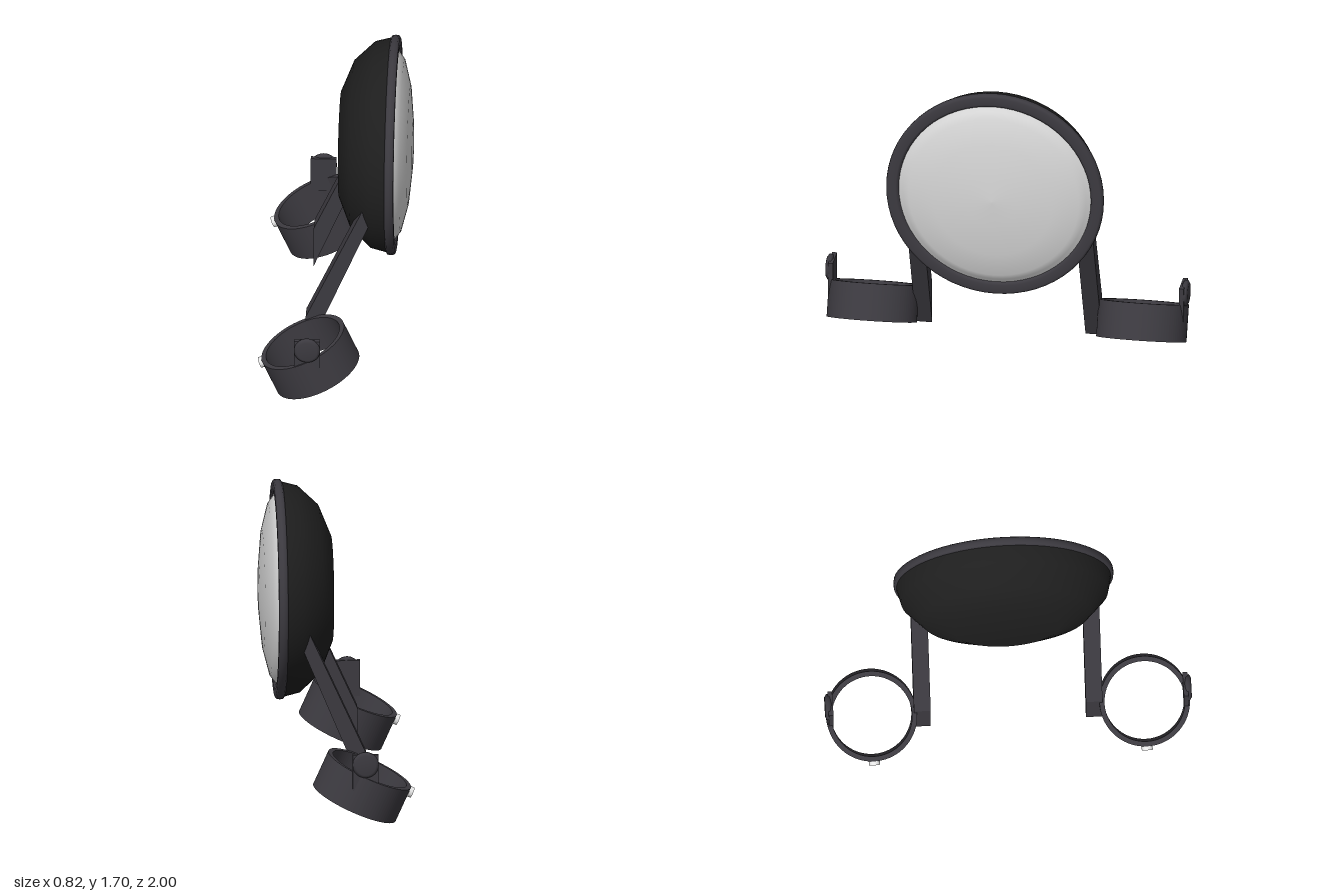
import * as THREE from 'three';

const frame = new THREE.MeshStandardMaterial({ name: 'charcoal frame', color: 0x3c3a40 });
const black = new THREE.MeshStandardMaterial({ name: 'black shell', color: 0x1e1e1e });
const glass = new THREE.MeshStandardMaterial({ name: 'pale lens', color: 0xd6d6d6 });
const steel = new THREE.MeshStandardMaterial({ name: 'bright steel', color: 0xeaeaea });

const TILT = THREE.MathUtils.degToRad(24);

function add(parent, name, geometry, material, x = 0, y = 0, z = 0) {
  const mesh = new THREE.Mesh(geometry, material);
  mesh.name = name;
  mesh.position.set(x, y, z);
  parent.add(mesh);
  return mesh;
}

// Turned part whose axis points along +x; profile pairs are [radius, x]
function turned(profile) {
  const points = profile.map(([r, x]) => new THREE.Vector2(r, x));
  return new THREE.LatheGeometry(points, 64).rotateZ(-Math.PI / 2);
}

function createLamp() {
  const lamp = new THREE.Group();
  lamp.name = 'headlamp';
  lamp.position.y = 1.113;

  add(lamp, 'shell', turned([[0, 0], [0.29, 0], [0.458, 0.068], [0.563, 0.18], [0.586, 0.27]]), black);

  add(lamp, 'rim', turned([
    [0.53, 0.265], [0.585, 0.265], [0.597, 0.272], [0.6, 0.29], [0.597, 0.308],
    [0.585, 0.315], [0.545, 0.315], [0.532, 0.308], [0.527, 0.29], [0.53, 0.265],
  ]), frame);

  add(lamp, 'lens', turned([
    [0.53, 0.298], [0.505, 0.315], [0.47, 0.341], [0.33, 0.377], [0.14, 0.396], [0, 0.402],
  ]), glass);
  return lamp;
}

// Clamp ring, arm and fasteners for one side (+1 or -1 along z)
function createBracket(side) {
  const bracket = new THREE.Group();
  bracket.name = side > 0 ? 'frontBracket' : 'rearBracket';

  // Tilted fork clamp
  const clamp = new THREE.Group();
  clamp.name = 'clamp';
  clamp.position.set(-0.128, 0.203, side * 0.743);
  clamp.rotation.z = TILT;
  bracket.add(clamp);

  const outline = new THREE.Shape().absarc(0, 0, 0.246, 0, Math.PI * 2, false);
  outline.holes.push(new THREE.Path().absarc(0, 0, 0.219, 0, Math.PI * 2, true));
  const ring = new THREE.ExtrudeGeometry(outline, { depth: 0.204, bevelEnabled: false, curveSegments: 48 });
  ring.translate(0, 0, -0.102).rotateX(-Math.PI / 2);
  add(clamp, 'clampRing', ring, frame);

  // Small bolt head on the back of the clamp
  const bolt = new THREE.CylinderGeometry(0.03, 0.03, 0.035, 16).rotateZ(Math.PI / 2);
  add(clamp, 'bolt', bolt, steel, -0.25, 0.072, 0);

  // Slanted arm with an upright cut at the foot, running into the shell
  const profile = new THREE.Shape([
    [-0.164, 0.08], [0.182, 0.909], [0.24, 1.048], [0.19, 1.096], [0.146, 1.0], [-0.164, 0.318],
  ].map(([x, y]) => new THREE.Vector2(x, y)));
  const arm = new THREE.ExtrudeGeometry(profile, { depth: 0.091, bevelEnabled: false });
  arm.translate(0, 0, -0.0455);
  add(bracket, 'arm', arm, frame, 0, 0, side * 0.468);

  // Square tab carrying a rounded knob
  add(bracket, 'tab', new THREE.BoxGeometry(0.14, 0.2, 0.026), frame, -0.135, 0.34, side * 0.967);
  const knob = new THREE.LatheGeometry([
    [0, -0.018], [0.055, -0.018], [0.071, -0.008], [0.071, 0.008], [0.055, 0.018], [0, 0.018],
  ].map(([r, y]) => new THREE.Vector2(r, y)), 32).rotateX(Math.PI / 2);
  add(bracket, 'knob', knob, frame, -0.135, 0.385, side * 0.98);
  return bracket;
}

export function createModel() {
  const model = new THREE.Group();
  model.name = 'headlampWithBrackets';
  model.add(createLamp());
  for (const side of [1, -1]) model.add(createBracket(side));
  return model;
}
